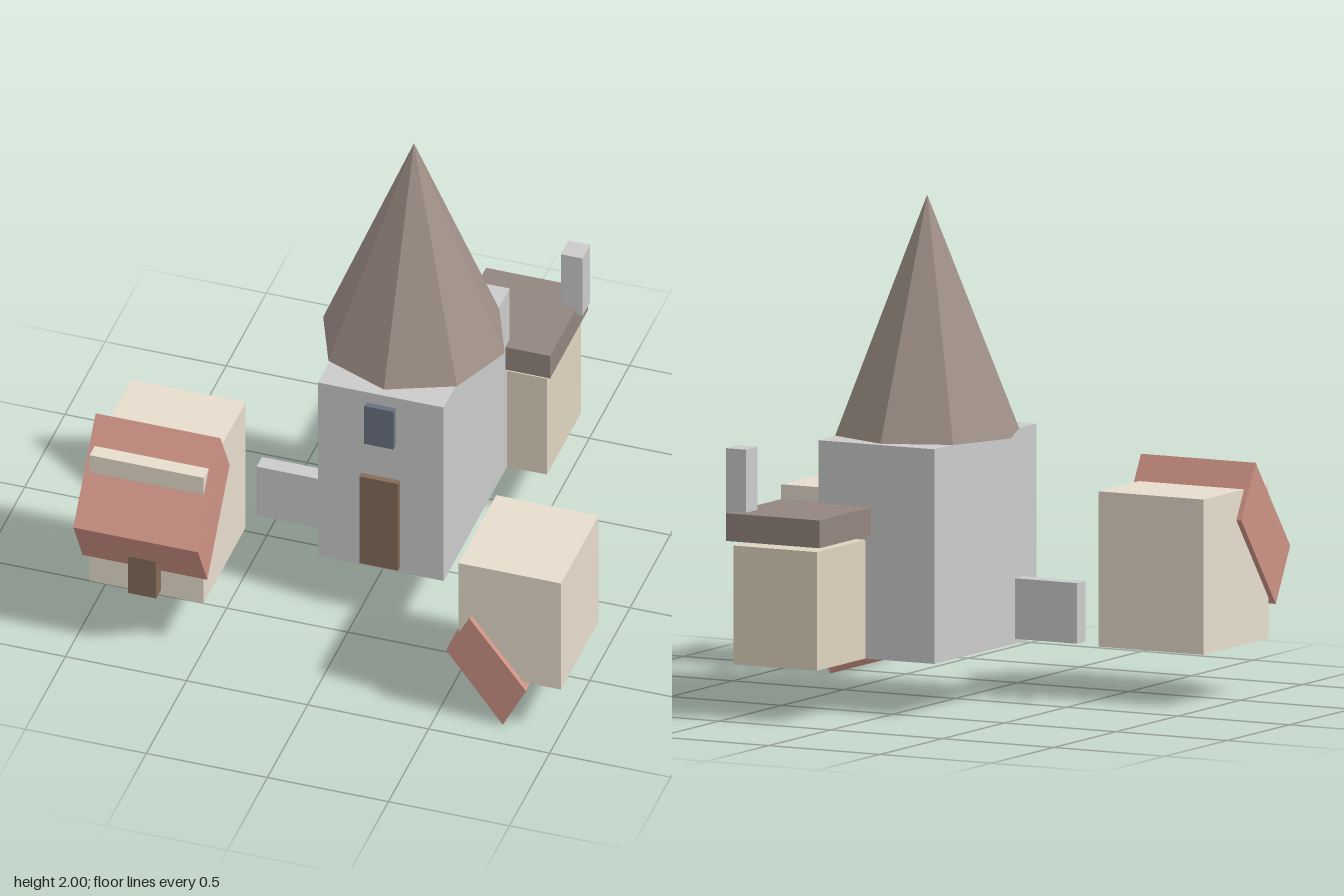
import * as THREE from 'three';

const mat = (color) => new THREE.MeshStandardMaterial({ color, flatShading: true });

export function createModel() {
  const model = new THREE.Group();
  const stone = mat(0xcccccc), cream = mat(0xe7ddcd), sand = mat(0xdfd4bf);
  const tile = mat(0xcc9284), slate = mat(0xa09088), darkSlate = mat(0x94857f);
  const wood = mat(0x846b58), glass = mat(0x6b7182);

  const add = (parent, name, geometry, material) => {
    const mesh = new THREE.Mesh(geometry, material);
    mesh.name = name;
    parent.add(mesh);
    return mesh;
  };
  const group = (name) => {
    const g = new THREE.Group();
    g.name = name;
    model.add(g);
    return g;
  };
  // Box given by its extents on each axis
  const box = (parent, name, material, [x0, x1], [y0, y1], [z0, z1]) =>
    add(parent, name, new THREE.BoxGeometry(x1 - x0, y1 - y0, z1 - z0), material)
      .position.set((x0 + x1) / 2, (y0 + y1) / 2, (z0 + z1) / 2);
  // Skewed slab roof: four-sided outline pushed along its ridge
  const slabRoof = (parent, points, length) => {
    const shape = new THREE.Shape(points.map(([x, y]) => new THREE.Vector2(x, y)));
    return add(parent, 'slantedRoof',
      new THREE.ExtrudeGeometry(shape, { depth: length, bevelEnabled: false }), tile);
  };

  // Central tower with an eight-sided spire
  const tower = group('tower');
  box(tower, 'towerWalls', stone, [-0.18, 0.34], [0.21, 1.06], [-0.49, 0.33]);
  add(tower, 'spire', new THREE.ConeGeometry(0.375, 0.94, 8), slate).position.set(0.08, 1.53, -0.083);
  box(tower, 'towerDoor', wood, [0, 0.16], [0.235, 0.66], [0.31, 0.355]);
  box(tower, 'towerWindow', glass, [0.02, 0.14], [0.825, 1.01], [0.31, 0.355]);

  // Low wall beside the tower
  box(model, 'lowWall', stone, [-0.48, -0.2], [0.235, 0.475], [0.12, 0.187]);

  // Back cottage: flat roof and chimney
  const back = group('backCottage');
  box(back, 'cottageWalls', sand, [0.13, 0.505], [0.21, 0.68], [-0.88, -0.457]);
  box(back, 'flatRoof', darkSlate, [0.105, 0.525], [0.70, 0.81], [-0.905, -0.437]);
  box(back, 'chimney', stone, [0.46, 0.55], [0.78, 1.06], [-0.86, -0.765]);

  // Right-hand cottage: roof runs along x, outline given in z and y
  const west = group('westCottage');
  box(west, 'cottageWalls', cream, [-0.978, -0.507], [0.21, 0.825], [0.245, 0.765]);
  box(west, 'cottageDoor', wood, [-0.8, -0.683], [0.235, 0.415], [0.75, 0.825]);
  const westRoof = slabRoof(west, [[0.624, 0.925], [0.508, 0.711], [0.786, 0.346], [0.902, 0.563]], 0.515);
  westRoof.rotation.y = -Math.PI / 2;
  westRoof.position.x = -0.485;

  // Left-hand cottage: roof runs along z, outline given in x and y
  const east = group('eastCottage');
  box(east, 'cottageWalls', cream, [0.577, 1], [0.21, 0.73], [0.39, 0.858]);
  slabRoof(east, [[0.63, 0.487], [0.533, 0.31], [0.767, 0], [0.863, 0.187]], 0.515).position.z = 0.367;

  return model;
}
